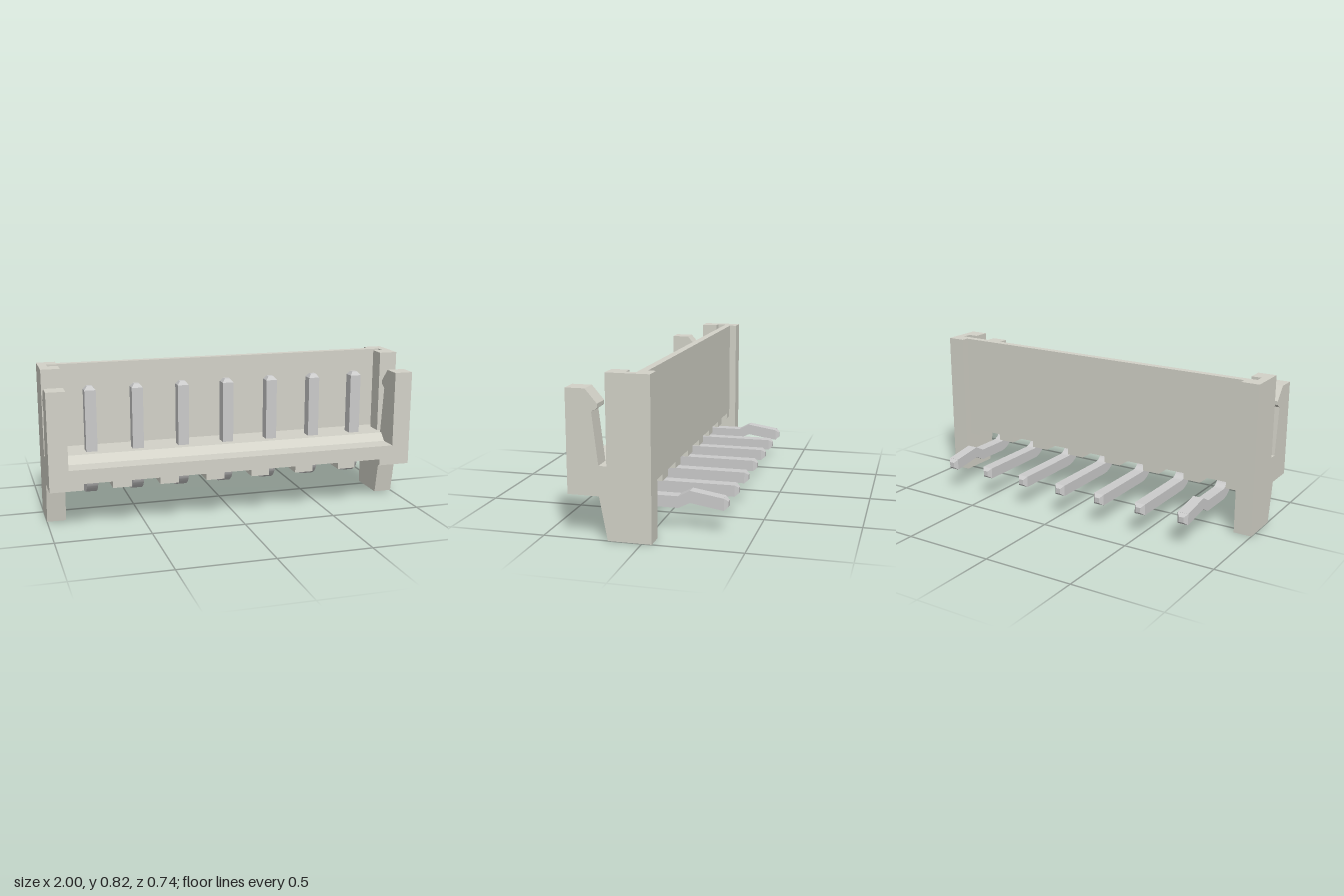
import * as THREE from 'three';
import { toCreasedNormals } from 'three/addons/utils/BufferGeometryUtils.js';

const plastic = new THREE.MeshStandardMaterial({ color: 0xd3d2c8 });
const metal = new THREE.MeshStandardMaterial({ color: 0xcccccc });

// Extrude a (z, y) profile along x between x0 and x1
function sweepX(shape, x0, x1) {
  const geo = new THREE.ExtrudeGeometry(shape, { depth: x1 - x0, bevelEnabled: false, curveSegments: 10 });
  geo.rotateY(-Math.PI / 2).translate(x1, 0, 0);
  return toCreasedNormals(geo, 0.3);
}

const polygon = (pts) => new THREE.Shape(pts.map(([z, y]) => new THREE.Vector2(z, y)));

function addMesh(parent, name, geometry, material) {
  const mesh = new THREE.Mesh(geometry, material);
  mesh.name = name;
  parent.add(mesh);
  return mesh;
}

// Side outline of an end cheek: leg, front latch with hook, tall column
const cheekFront = [
  [-0.05, 0], [0.17, 0], [0.21, 0.22], [0.37, 0.22], [0.37, 0.74], [0.27, 0.74], [0.21, 0.67],
  [0.21, 0.65], [0.24, 0.63], [0.21, 0.37], [0.17, 0.37], [0.17, 0.82],
];
const columnSlot = [[0.08, 0.82], [0.08, 0.37], [0.03, 0.37], [0.03, 0.82]];
const cheekBack = [[-0.05, 0.82]];

function makeCheek(side) {
  const cheek = new THREE.Group();
  cheek.name = side > 0 ? 'leftCheek' : 'rightCheek';
  const span = (a, b) => (side > 0 ? [a, b] : [-b, -a]);
  addMesh(cheek, 'outerCheek', sweepX(polygon([...cheekFront, ...cheekBack]), ...span(0.955, 1)), plastic);
  addMesh(cheek, 'slottedCheek',
    sweepX(polygon([...cheekFront, ...columnSlot, ...cheekBack]), ...span(0.9, 0.955)), plastic);
  return cheek;
}

// Bent square pin; the outermost ones have a raised kink in the tail
function makePin(x, kinked) {
  const pin = new THREE.Group();
  pin.name = 'pin';
  const s = new THREE.Shape();
  s.moveTo(0.12, 0.70);
  s.lineTo(0.12, 0.24);
  s.absarc(0.06, 0.24, 0.06, 0, -Math.PI / 2, true);
  if (kinked) {
    s.lineTo(-0.12, 0.18);
    s.lineTo(-0.18, 0.212);
    s.lineTo(-0.35, 0.185);
    s.lineTo(-0.35, 0.123);
    s.lineTo(-0.18, 0.15);
    s.lineTo(-0.12, 0.12);
  } else {
    s.lineTo(-0.35, 0.18);
    s.lineTo(-0.35, 0.12);
  }
  s.lineTo(0.06, 0.12);
  s.absarc(0.06, 0.24, 0.12, -Math.PI / 2, 0, false);
  s.lineTo(0.18, 0.70);
  s.closePath();
  addMesh(pin, 'pinBody', sweepX(s, -0.03, 0.03), metal);

  // Tapered tips
  const tip = () => toCreasedNormals(
    new THREE.CylinderGeometry(0.014 * Math.SQRT2, 0.03 * Math.SQRT2, 0.02, 4).rotateY(Math.PI / 4), 0.3);
  addMesh(pin, 'contactTip', tip().translate(0, 0.71, 0.15), metal);
  addMesh(pin, 'tailTip', tip().rotateX(-Math.PI / 2).translate(0, kinked ? 0.154 : 0.15, -0.36), metal);
  pin.position.x = x;
  return pin;
}

export function createModel() {
  const model = new THREE.Group();
  model.name = 'pinHeader';

  // Back wall, floor and chamfered front ledge
  const bodyProfile = polygon([
    [-0.01, 0.255], [0.37, 0.255], [0.37, 0.33], [0.265, 0.33], [0.225, 0.37],
    [0.03, 0.37], [0.03, 0.82], [-0.01, 0.82],
  ]);
  addMesh(model, 'shell', sweepX(bodyProfile, -0.9, 0.9), plastic);

  for (const side of [1, -1]) model.add(makeCheek(side));

  // Ribs under the floor, between the pins and at both ends
  for (let i = 0; i <= 7; i++) {
    const mid = -0.875 + i * 0.25;
    const x0 = Math.max(mid - 0.05, -0.9);
    const x1 = Math.min(mid + 0.05, 0.9);
    const rib = new THREE.BoxGeometry(x1 - x0, 0.035, 0.38).translate((x0 + x1) / 2, 0.2375, 0.18);
    addMesh(model, 'floorRib', rib, plastic);
  }

  for (let i = 0; i < 7; i++) model.add(makePin(-0.75 + i * 0.25, i === 0 || i === 6));

  return model;
}
